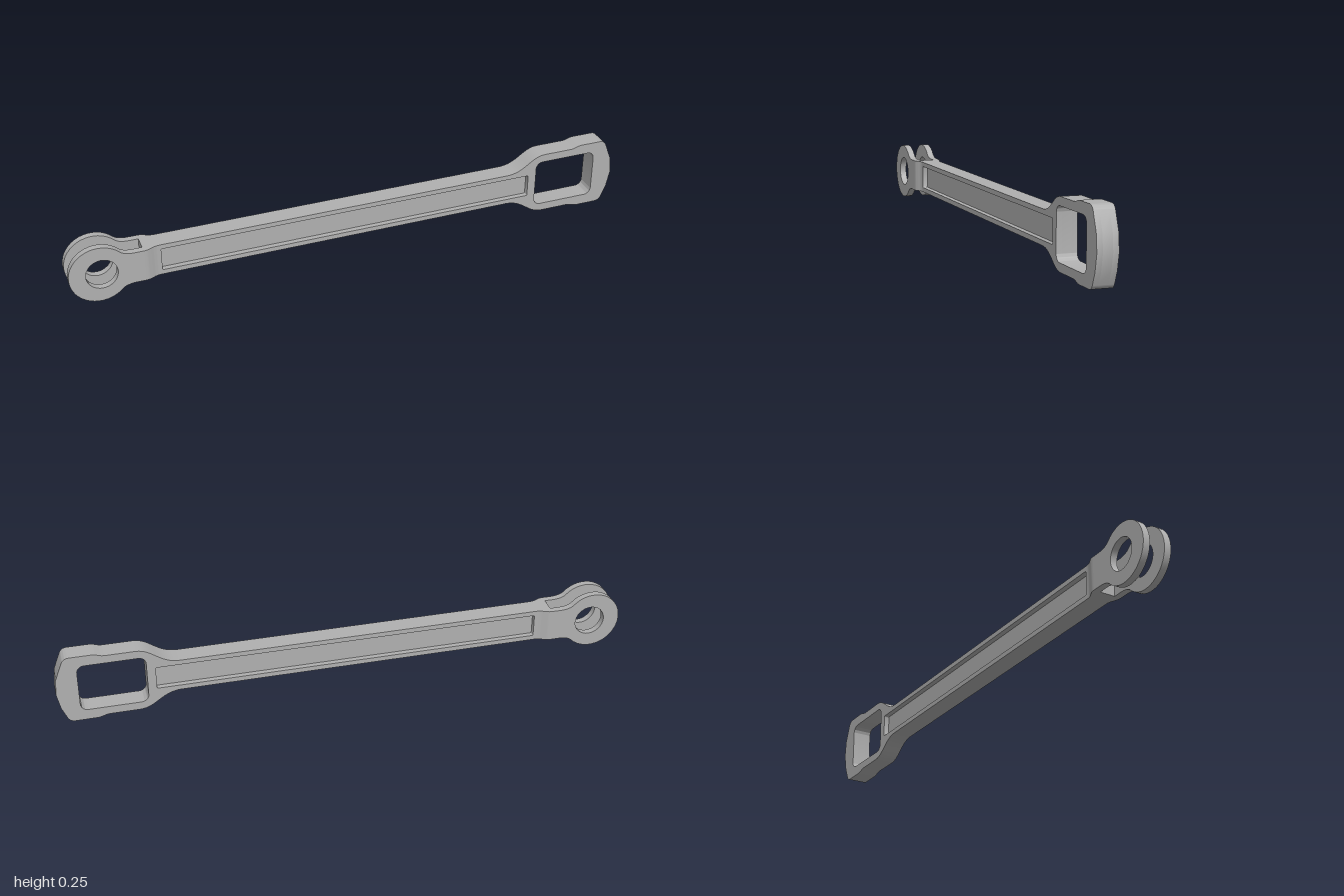
import * as THREE from 'three';
import { toCreasedNormals } from 'three/addons/utils/BufferGeometryUtils.js';

const CY = 0.125;      // height of the rod's long axis
const HALF_H = 0.058;  // half height of the shank
const BODY_Z = 0.035, WEB_Z = 0.016, FORK_Z = 0.051, SLOT_Z = 0.027;
const FORK_END = -0.745;

// Rectangle path with optional rounded corners, centred on the axis
function rectPath(x0, x1, h, r) {
  const p = new THREE.Path();
  const y0 = CY - h, y1 = CY + h;
  p.moveTo(x0 + r, y0);
  p.lineTo(x1 - r, y0);
  p.absarc(x1 - r, y0 + r, r, -Math.PI / 2, 0);
  p.lineTo(x1, y1 - r);
  p.absarc(x1 - r, y1 - r, r, 0, Math.PI / 2);
  p.lineTo(x0 + r, y1);
  p.absarc(x0 + r, y1 - r, r, Math.PI / 2, Math.PI);
  p.lineTo(x0, y0 + r);
  p.absarc(x0 + r, y0 + r, r, Math.PI, Math.PI * 1.5);
  return p;
}

// Shank flaring into the slotted head
function bodyShape() {
  const s = new THREE.Shape();
  s.moveTo(FORK_END, CY - HALF_H);
  s.lineTo(0.58, CY - HALF_H);
  s.bezierCurveTo(0.65, CY - HALF_H, 0.67, 0.01, 0.725, 0.009);
  s.lineTo(0.825, 0.009);
  s.bezierCurveTo(0.85, 0.009, 0.85, 0, 0.875, 0);
  s.lineTo(0.945, 0);
  s.quadraticCurveTo(0.965, 0, 0.972, 0.02);
  // broad facets of the bowed end
  for (const [x, y] of [[0.988, 0.057], [1, 0.114], [0.9945, 0.172], [0.972, 0.23]]) s.lineTo(x, y);
  s.quadraticCurveTo(0.965, 0.25, 0.945, 0.25);
  s.lineTo(0.875, 0.25);
  s.bezierCurveTo(0.85, 0.25, 0.85, 0.241, 0.825, 0.241);
  s.lineTo(0.725, 0.241);
  s.bezierCurveTo(0.67, 0.24, 0.65, CY + HALF_H, 0.58, CY + HALF_H);
  s.lineTo(FORK_END, CY + HALF_H);
  s.closePath();
  s.holes.push(rectPath(0.694, 0.924, 0.087, 0.025));
  return s;
}

// Round eye blending into the neck
function prongShape() {
  const s = new THREE.Shape();
  const cx = -0.8975, r = 0.1025, d = r * Math.SQRT1_2;
  s.moveTo(FORK_END, CY + HALF_H);
  s.lineTo(-0.775, CY + HALF_H);
  s.quadraticCurveTo(-0.81, CY + HALF_H, cx + d, CY + d);
  s.absarc(cx, CY, r, Math.PI / 4, Math.PI * 1.75, false);
  s.quadraticCurveTo(-0.81, CY - HALF_H, -0.775, CY - HALF_H);
  s.lineTo(FORK_END, CY - HALF_H);
  s.closePath();
  const hole = new THREE.Path();
  hole.absarc(-0.889, CY, 0.054, 0, Math.PI * 2, true);
  s.holes.push(hole);
  return s;
}

export function createModel() {
  const group = new THREE.Group();
  const steel = new THREE.MeshStandardMaterial({ color: 0xb0b0b0 });
  steel.name = 'grey steel';

  const extrude = (shape, depth) => new THREE.ExtrudeGeometry(shape, { depth, bevelEnabled: false, curveSegments: 16 });
  const add = (name, geometry) => {
    const mesh = new THREE.Mesh(toCreasedNormals(geometry, 0.4), steel);
    mesh.name = name;
    group.add(mesh);
  };
  // Extrusion between two z depths
  const layer = (name, shape, z0, z1) => add(name, extrude(shape, z1 - z0).translate(0, 0, z0));

  // Thin core that forms the floor of both recesses
  layer('web', bodyShape(), -WEB_Z, WEB_Z);

  // Outer layers with the long recess cut through them
  const rim = bodyShape();
  rim.holes.push(rectPath(-0.684, 0.664, 0.041, 0.004));
  layer('frontRim', rim, WEB_Z, BODY_Z);
  layer('backRim', rim, -BODY_Z, -WEB_Z);

  // Fork prongs with the pin hole
  layer('frontProng', prongShape(), SLOT_Z, FORK_Z);
  layer('backProng', prongShape(), -FORK_Z, -SLOT_Z);

  // Neck easing from the fork width down to the shank width
  const neck = new THREE.Shape();
  neck.moveTo(FORK_END, -FORK_Z);
  neck.bezierCurveTo(-0.72, -FORK_Z, -0.715, -BODY_Z, -0.688, -BODY_Z);
  neck.lineTo(-0.688, BODY_Z);
  neck.bezierCurveTo(-0.715, BODY_Z, -0.72, FORK_Z, FORK_END, FORK_Z);
  neck.closePath();
  add('forkNeck', extrude(neck, HALF_H * 2).rotateX(-Math.PI / 2).translate(0, CY - HALF_H, 0));

  return group;
}
